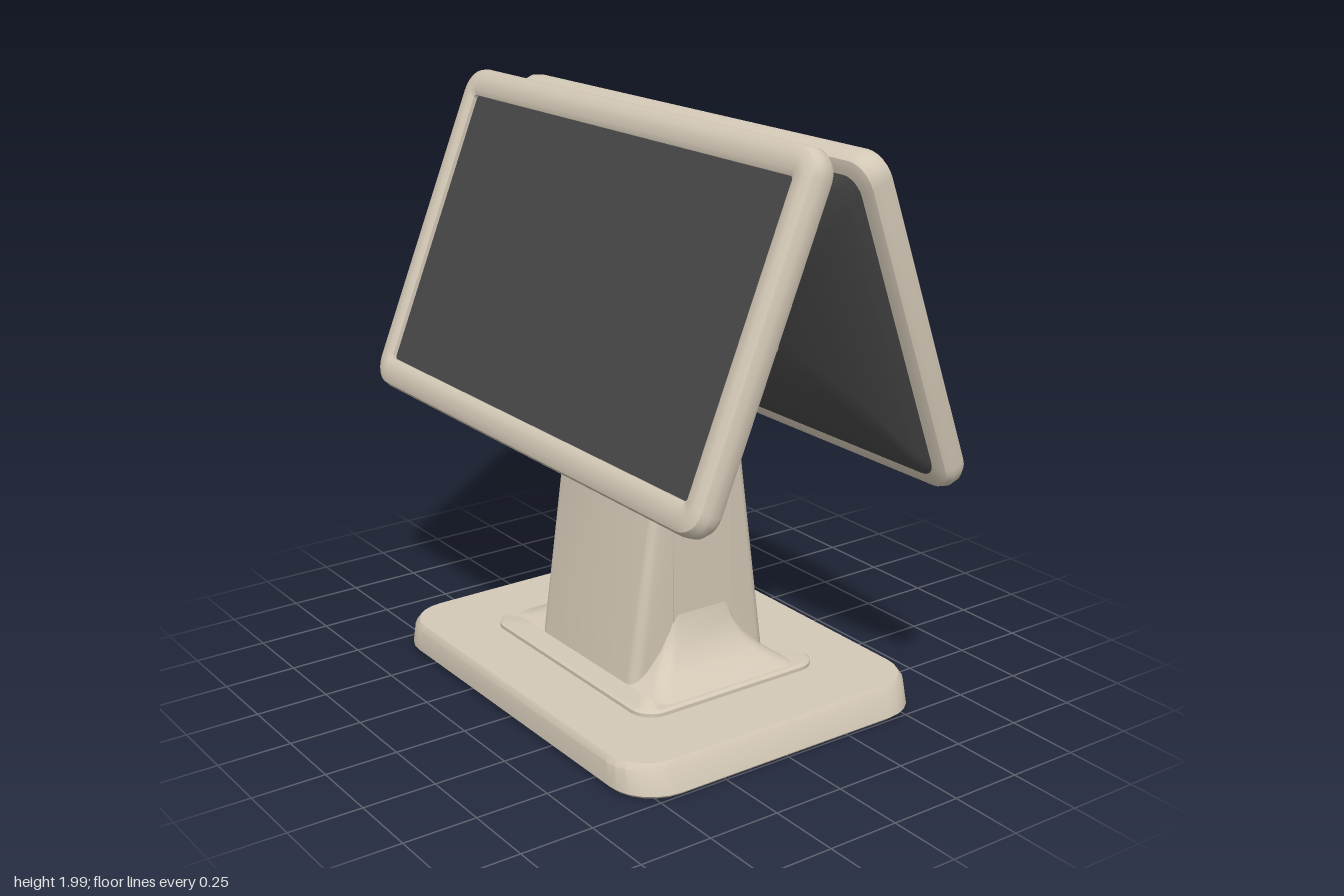
import * as THREE from 'three';
import { toCreasedNormals } from 'three/addons/utils/BufferGeometryUtils.js';

const casing = new THREE.MeshStandardMaterial({ color: 0xd4c9b7 });
casing.name = 'beige casing';
const dark = new THREE.MeshStandardMaterial({ color: 0x484848, side: THREE.DoubleSide });
dark.name = 'dark grey';

// Counter-clockwise rounded rectangle at height z
function ring([hx, hy, r, z, cy = 0]) {
  const points = [];
  const n = 6;
  const corners = [[1, 1], [-1, 1], [-1, -1], [1, -1]];
  corners.forEach(([sx, sy], q) => {
    for (let i = 0; i <= n; i++) {
      const a = (q + i / n) * Math.PI / 2;
      points.push([sx * (hx - r) + r * Math.cos(a), cy + sy * (hy - r) + r * Math.sin(a), z]);
    }
  });
  return points;
}

// Skin rings [halfWidth, halfHeight, radius, z, centreY]; ends: 'both', 'first', 'loop'
function loft(sections, ends = 'both', crease = 0.6) {
  const rings = sections.map(ring);
  if (ends === 'loop') rings.push(rings[0]);
  const v = [];
  const tri = (a, b, c) => v.push(...a, ...b, ...c);
  const count = rings[0].length;
  const centre = (s) => [0, s[4] || 0, s[3]];
  const first = sections[0], last = sections[sections.length - 1];
  for (let j = 0; j < count; j++) {
    const k = (j + 1) % count;
    for (let i = 0; i < rings.length - 1; i++) {
      const a = rings[i], b = rings[i + 1];
      tri(a[j], a[k], b[k]);
      tri(a[j], b[k], b[j]);
    }
    if (ends !== 'loop') tri(centre(first), rings[0][k], rings[0][j]);
    if (ends === 'both') {
      const top = rings[rings.length - 1];
      tri(centre(last), top[j], top[k]);
    }
  }
  const g = new THREE.BufferGeometry();
  g.setAttribute('position', new THREE.Float32BufferAttribute(v, 3));
  return toCreasedNormals(g, crease);
}

const upright = (sections, ends) => loft(sections, ends).rotateX(-Math.PI / 2);

function add(parent, name, geometry, material) {
  const mesh = new THREE.Mesh(geometry, material);
  mesh.name = name;
  parent.add(mesh);
  return mesh;
}

// Screen housing facing +z, with its rear shell and mount
function makeScreen(name) {
  const screen = new THREE.Group();
  screen.name = name;
  add(screen, 'frame', loft([
    [0.92, 0.545, 0.06, -0.05], [0.945, 0.57, 0.08, -0.04], [0.955, 0.58, 0.085, -0.018],
    [0.955, 0.58, 0.085, 0.015], [0.945, 0.57, 0.08, 0.038], [0.92, 0.545, 0.06, 0.05],
    [0.885, 0.5, 0.02, 0.05], [0.87, 0.482, 0.012, 0.04], [0.87, 0.482, 0.012, -0.005],
    [0.85, 0.47, 0.012, -0.008], [0.85, 0.47, 0.012, -0.028],
    [0.83, 0.458, 0.012, -0.031], [0.83, 0.458, 0.012, -0.05],
  ], 'loop'), casing);
  add(screen, 'rearShell', loft([
    [0.35, 0.12, 0.06, -0.14], [0.68, 0.29, 0.08, -0.132],
    [0.86, 0.49, 0.06, -0.075], [0.915, 0.54, 0.06, -0.04],
  ], 'first', 0.3), dark);

  // Mount plate, its two lugs reaching through the shell, and the neck
  add(screen, 'mountPlate', loft([
    [0.37, 0.1, 0.05, -0.21, -0.045], [0.4, 0.12, 0.06, -0.19, -0.045],
    [0.4, 0.12, 0.06, -0.143, -0.045],
  ]), casing);
  for (const side of [-1, 1]) {
    const lug = add(screen, 'mountLug', loft([
      [0.06, 0.11, 0.05, -0.16, -0.03], [0.06, 0.11, 0.05, -0.125, -0.03],
      [0.04, 0.09, 0.035, -0.11, -0.03],
    ]), casing);
    lug.position.x = side * 0.335;
  }
  add(screen, 'mountNeck', loft([
    [0.24, 0.07, 0.04, -0.29, -0.045], [0.24, 0.07, 0.04, -0.2, -0.045],
  ]), casing);
  return screen;
}

export function createModel() {
  const model = new THREE.Group();
  model.name = 'dualScreenTerminal';

  // Base slab and foot plate
  add(model, 'base', upright([
    [0.74, 0.57, 0.15, 0.003], [0.757, 0.585, 0.16, 0.018], [0.73, 0.585, 0.15, 0.095],
    [0.715, 0.572, 0.14, 0.115],
  ]), casing);
  add(model, 'footPlate', upright([
    [0.47, 0.36, 0.08, 0.11], [0.47, 0.36, 0.08, 0.127], [0.46, 0.35, 0.075, 0.135],
  ]), casing);

  // Flared skirt, tapering column, side panels and head
  add(model, 'columnSkirt', upright([
    [0.46, 0.28, 0.05, 0.132], [0.41, 0.255, 0.05, 0.148], [0.36, 0.215, 0.05, 0.18],
    [0.32, 0.165, 0.04, 0.235], [0.295, 0.13, 0.03, 0.3], [0.284, 0.115, 0.02, 0.36],
  ]), casing);
  add(model, 'column', upright([
    [0.282, 0.277, 0.04, 0.13], [0.282, 0.122, 0.03, 1.21],
  ]), casing);
  add(model, 'sidePanels', new THREE.BoxGeometry(0.572, 0.9, 0.23).translate(0, 0.75, 0), casing);
  add(model, 'columnHead', upright([
    [0.282, 0.122, 0.03, 1.21], [0.28, 0.1, 0.03, 1.32],
    [0.275, 0.09, 0.03, 1.355], [0.255, 0.07, 0.03, 1.37],
  ]), casing);

  // Front screen with glass
  const front = makeScreen('frontScreen');
  front.position.set(0, 1.448, 0.281);
  front.rotation.x = -THREE.MathUtils.degToRad(22.2);
  add(front, 'glass', new THREE.BoxGeometry(1.745, 0.968, 0.008).translate(0, 0, 0.022), dark);
  model.add(front);

  // Rear screen, open-fronted
  const tilt = new THREE.Group();
  tilt.name = 'rearScreenTurn';
  tilt.rotation.y = Math.PI;
  const rear = makeScreen('rearScreen');
  rear.position.set(0, 1.407, 0.304);
  rear.rotation.x = -THREE.MathUtils.degToRad(20.2);
  tilt.add(rear);
  model.add(tilt);

  return model;
}
